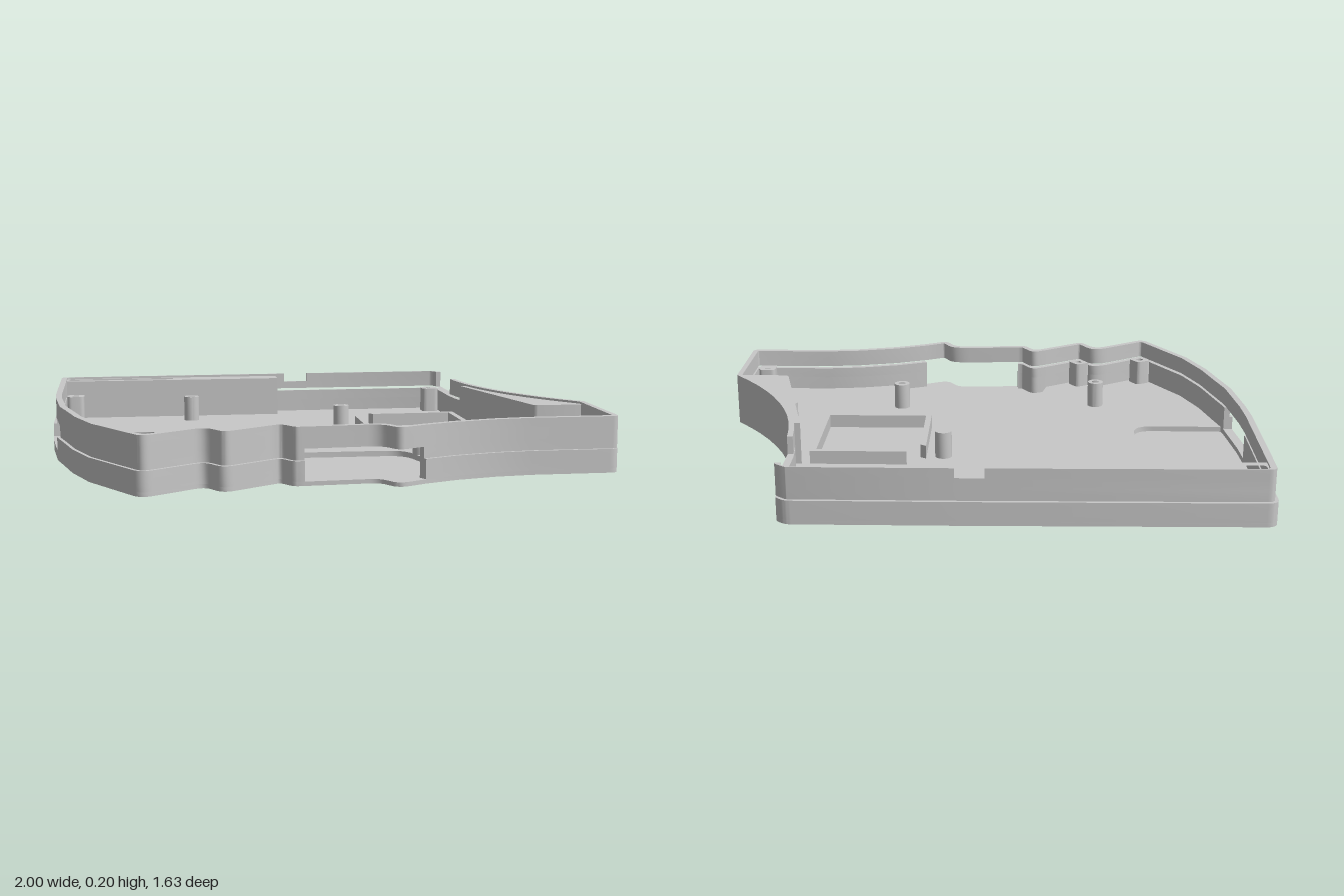
import * as THREE from 'three';
import { mergeGeometries, toCreasedNormals } from 'three/addons/utils/BufferGeometryUtils.js';

// Hollow curve along the right side
const HOLLOW = new THREE.QuadraticBezierCurve(
  new THREE.Vector2(0.68, -0.5), new THREE.Vector2(0.70, -0.10), new THREE.Vector2(1, 0.24),
).getPoints(10).map((p) => [p.x, p.y, 0]);

// Plan corners [x, z, rounding], running back, right, front, left
const CORNERS = [
  [-0.998, -0.80, 0.04], [-0.02, -0.811, 0], [0.08, -0.812, 0],
  [0.645, -0.813, 0.02], [0.68, -0.785, 0.02], [0.68, -0.76, 0],
  ...HOLLOW,
  [1, 0.63, 0.035], [0.68, 0.63, 0], [0.55, 0.645, 0], [0.40, 0.682, 0],
  [0.28, 0.73, 0], [0.175, 0.785, 0.045], [0.13, 0.697, 0.04], [-0.13, 0.712, 0],
  [-0.17, 0.714, 0.03], [-0.205, 0.652, 0.03], [-0.235, 0.67, 0],
  [-0.41, 0.785, 0.045], [-0.465, 0.687, 0.04], [-0.68, 0.832, 0.05],
  [-0.85, 0.54, 0], [-0.91, 0.37, 0], [-0.945, 0.22, 0], [-0.967, 0.13, 0],
  [-0.973, 0.1, 0], [-0.995, -0.12, 0], [-1, -0.23, 0], [-1, -0.29, 0],
];
// Corner numbers where openings begin and end
const USB = [1, 2], NOTCH = [5, 6], FRONT = [21, 24], LEFT = [35, 37];
const FRONT_POCKET = [20, 27], LEFT_POCKET = [34, 38];
const FLOOR = 0.035, POCKET = 0.015, STEP = 0.085, TOP = 0.2;

const isRight = (i) => i >= 4 && i <= 16;
const stepInset = (i) => (isRight(i) ? 0 : 0.012);
const wallInset = (i) => (isRight(i) ? 0.02 : i < 4 ? 0.018 : 0.035);

// Move every edge of a closed outline inward by its own distance
function inset(corners, distance) {
  const n = corners.length;
  return corners.map((c, i) => {
    const a = corners[(i + n - 1) % n], b = corners[(i + 1) % n];
    const u = new THREE.Vector2(c[0] - a[0], c[1] - a[1]).normalize();
    const v = new THREE.Vector2(b[0] - c[0], b[1] - c[1]).normalize();
    const d1 = distance((i + n - 1) % n), d2 = distance(i);
    const cross = u.x * v.y - u.y * v.x;
    const r = c[2] ? Math.max(c[2] - Math.sign(cross) * d2, 0.008) : 0;
    if (Math.abs(cross) < 0.02) return [c[0] - v.y * d2, c[1] + v.x * d2, r];
    const s = (d1 * u.dot(v) - d2) / cross;
    return [c[0] - u.y * d1 + u.x * s, c[1] + u.x * d1 + u.y * s, r];
  });
}

// Round the corners; first[i] is where corner i starts in pts
function round(corners) {
  const n = corners.length, pts = [], first = [];
  corners.forEach((c, i) => {
    first.push(pts.length);
    const p = new THREE.Vector2(c[0], c[1]);
    if (!c[2]) { pts.push(p); return; }
    const toward = (q) => {
      const w = new THREE.Vector2(q[0], q[1]).sub(p), len = w.length();
      return w.multiplyScalar(Math.min(c[2], len * 0.45) / len).add(p);
    };
    const a = toward(corners[(i + n - 1) % n]), b = toward(corners[(i + 1) % n]);
    pts.push(...new THREE.QuadraticBezierCurve(a, p, b).getPoints(6));
  });
  return { pts, first };
}

// Points from corner a to corner b, wrapping past the end
function section({ pts, first }, a, b) {
  const out = [];
  for (let i = first[a]; ; i = (i + 1) % pts.length) {
    out.push(pts[i]);
    if (i === first[b]) return out;
  }
}

const circle = (x, z, r) => new THREE.EllipseCurve(x, z, r, r).getPoints(24).slice(0, 24);

// Rounded rectangle in plan
const rect = (x0, z0, x1, z1, r) =>
  round([[x0, z0, r], [x1, z0, r], [x1, z1, r], [x0, z1, r]]).pts;

// Extrude a plan outline from y0 to y1
function slab(pts, y0, y1, holes = []) {
  const flip = (list) => list.map((p) => new THREE.Vector2(p.x, -p.y));
  const shape = new THREE.Shape(flip(pts));
  shape.holes = holes.map((h) => new THREE.Path(flip(h)));
  const g = new THREE.ExtrudeGeometry(shape, { depth: y1 - y0, bevelEnabled: false });
  return g.rotateX(-Math.PI / 2).translate(0, y0, 0);
}

export function createModel() {
  const model = new THREE.Group();
  model.name = 'caseBottom';
  const grey = new THREE.MeshStandardMaterial({ color: 0xc8c8c8 });
  grey.name = 'light grey plastic';
  const add = (name, ...geometries) => {
    const mesh = new THREE.Mesh(toCreasedNormals(mergeGeometries(geometries), 0.5), grey);
    mesh.name = name;
    model.add(mesh);
  };

  const base = round(CORNERS);
  const upper = round(inset(CORNERS, stepInset));
  const inner = round(inset(CORNERS, wallInset));

  // Through holes: long slot at the back and strap hole at the side
  const slot = rect(-0.957, -0.772, -0.51, -0.727, 0.02);
  const strap = round([[0.70, -0.10, 0.025], [0.75, -0.10, 0.025],
    [0.935, 0.248, 0.035], [0.81, 0.248, 0.035]]).pts;

  // Floor with screw recesses underneath
  const screws = [[-0.925, -0.66], [0.62, -0.72], [0.935, 0.565], [-0.66, 0.73]];
  add('floorPlate', slab(base.pts, 0, POCKET,
    [slot, strap, ...screws.map(([x, z]) => circle(x, z, 0.032))]));

  // Upper floor layer, cut away at the two pockets
  const pocket = ([a, b], c1, c2) => {
    const s = inner.pts[inner.first[a]], e = inner.pts[inner.first[b]];
    return round([[s.x, s.y, 0], c1, c2, [e.x, e.y, 0]]).pts.slice(1, -1);
  };
  add('raisedFloor', slab([
    ...section(inner, LEFT_POCKET[1], FRONT_POCKET[0]),
    ...pocket(FRONT_POCKET, [0.30, 0.28, 0.07], [-0.165, 0.27, 0.07]),
    ...section(inner, FRONT_POCKET[1], LEFT_POCKET[0]),
    ...pocket(LEFT_POCKET, [-0.585, 0.125, 0.08], [-0.585, -0.29, 0.08]),
  ], POCKET, FLOOR, [slot, strap]));

  // Walls in height bands, each broken where an opening lies
  const wall = (outer, a, b, y0, y1) =>
    slab([...section(outer, a, b), ...section(inner, a, b).reverse()], y0, y1);
  add('lowerWall',
    wall(base, FRONT[1], FRONT[0], POCKET, FLOOR),
    wall(base, FRONT[1], LEFT[0], FLOOR, STEP),
    wall(base, LEFT[1], FRONT[0], FLOOR, STEP));
  add('upperWall',
    wall(upper, FRONT[1], LEFT[0], STEP, 0.125),
    wall(upper, LEFT[1], FRONT[0], STEP, 0.125),
    slab(upper.pts, 0.125, 0.135, [inner.pts]),
    wall(upper, NOTCH[1], NOTCH[0], 0.135, 0.165),
    wall(upper, NOTCH[1], USB[0], 0.165, TOP),
    wall(upper, USB[1], NOTCH[0], 0.165, TOP));

  // Thick back wall around the slot, and the solid corner around the strap hole
  add('slotBlock', slab(rect(-0.975, -0.784, -0.06, -0.70, 0), FLOOR, 0.192, [slot]));
  add('strapColumn', slab(round([[0.66, -0.33, 0], [0.685, -0.33, 0], [0.755, -0.11, 0],
    [0.85, 0.07, 0], [0.985, 0.245, 0], [0.985, 0.267, 0], [0.798, 0.267, 0.02]]).pts,
  FLOOR, 0.192, [strap]));

  // Round screw posts on the floor
  add('standoffs', ...[[-0.44, -0.585], [0.145, -0.235], [-0.45, 0.395], [0.345, 0.355]]
    .map(([x, z]) => slab(circle(x, z, 0.031), FLOOR, 0.135, [circle(x, z, 0.015)])));

  // Square screw posts by the walls, turned to follow the slanted front
  add('cornerPosts', ...[...screws, [0.94, 0.30], [-0.395, 0.69]].map(([x, z]) =>
    slab(rect(-0.035, -0.035, 0.035, 0.035, 0.02), FLOOR, 0.135, [circle(0, 0, 0.015)])
      .rotateY(x < 0 && z > 0 ? 0.55 : 0).translate(x, 0, z)));

  // Low frame with one open corner
  add('componentFrame', slab([
    [0.275, -0.328], [0.63, -0.328], [0.63, 0.105], [0.208, 0.105], [0.208, -0.265],
    [0.23, -0.25], [0.23, 0.085], [0.608, 0.085], [0.608, -0.308], [0.29, -0.308],
  ].map((p) => new THREE.Vector2(...p)), FLOOR, 0.085));

  return model;
}
